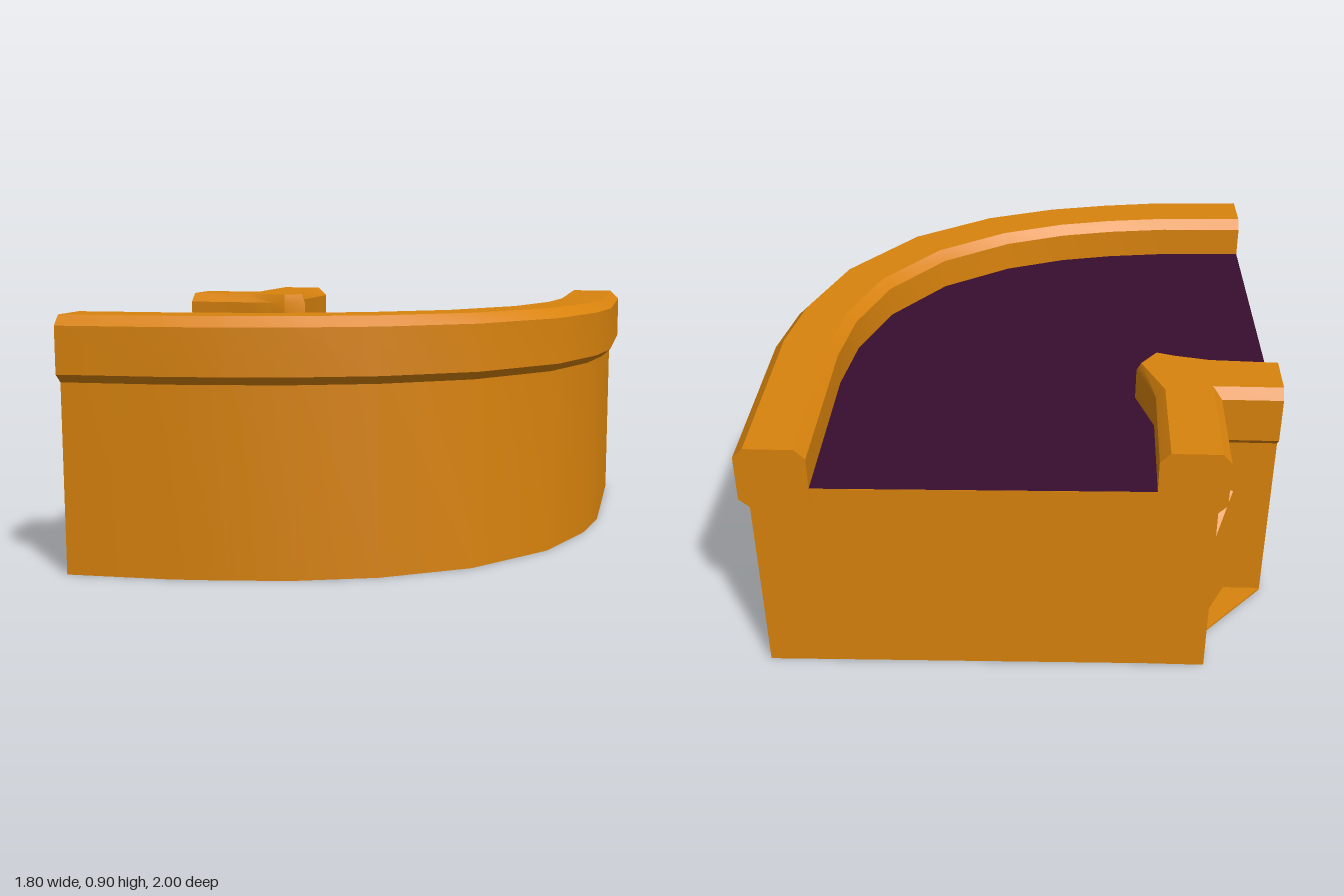
import * as THREE from 'three';
import { toCreasedNormals } from 'three/addons/utils/BufferGeometryUtils.js';
import { ConvexGeometry } from 'three/addons/geometries/ConvexGeometry.js';

const orange = new THREE.MeshStandardMaterial({ color: 0xd9830d });
orange.name = 'orange';
const purple = new THREE.MeshStandardMaterial({ color: 0x380e2f });
purple.name = 'darkPurple';

// Solid through stacked plan outlines: levels = [[y, [[x, z], ...]], ...]
function stack(levels) {
  const rings = levels.map(([y, pts]) => {
    const flat = pts.map(([x, z]) => new THREE.Vector2(x, z));
    if (THREE.ShapeUtils.area(flat) < 0) flat.reverse();
    return { y, flat };
  });
  const pos = [];
  const put = (r, i) => pos.push(r.flat[i].x, r.y, r.flat[i].y);
  const n = rings[0].flat.length;
  for (let k = 0; k < rings.length - 1; k++) {
    const lo = rings[k], hi = rings[k + 1];
    for (let i = 0; i < n; i++) {
      const j = (i + 1) % n;
      put(lo, i); put(hi, i); put(hi, j);
      put(lo, i); put(hi, j); put(lo, j);
    }
  }
  const first = rings[0], last = rings[rings.length - 1];
  for (const [a, b, c] of THREE.ShapeUtils.triangulateShape(first.flat, [])) {
    put(first, a); put(first, b); put(first, c);
  }
  for (const [a, b, c] of THREE.ShapeUtils.triangulateShape(last.flat, [])) {
    put(last, a); put(last, c); put(last, b);
  }
  const g = new THREE.BufferGeometry();
  g.setAttribute('position', new THREE.Float32BufferAttribute(pos, 3));
  return toCreasedNormals(g, 0.55);
}

// Curved rim in plan: matching inner and outer edge points
const inner = [[0.665, -1], [0.665, -0.35], [0.635, -0.1], [0.54, 0.17], [0.35, 0.42],
  [0.1, 0.59], [-0.13, 0.68], [-0.33, 0.725], [-0.56, 0.755], [-0.88, 0.765]];
const outer = [[0.9, -1], [0.9, -0.3], [0.86, -0.05], [0.745, 0.28], [0.5, 0.6],
  [0.2, 0.8], [-0.07, 0.9], [-0.3, 0.95], [-0.5, 0.98], [-0.875, 1]];
const across = (t) => inner.map(([x, z], i) => [
  x + (outer[i][0] - x) * t, z + (outer[i][1] - z) * t]);
const band = (a, b) => [...across(b), ...across(a).reverse()];

// Notched corner rim in plan: full outline and chamfered outline
const cornerFull = [[-0.69, -0.975], [-0.46, -0.975], [-0.465, -0.59], [-0.405, -0.41],
  [-0.47, -0.325], [-0.54, -0.345], [-0.66, -0.355], [-0.9, -0.36], [-0.9, -0.595], [-0.69, -0.595]];
const cornerInset = [[-0.66, -0.975], [-0.495, -0.975], [-0.495, -0.59], [-0.42, -0.42],
  [-0.477, -0.345], [-0.54, -0.365], [-0.66, -0.39], [-0.9, -0.4], [-0.9, -0.565], [-0.66, -0.565]];

// Plan of the whole block, its curved side at fraction t across the rim
const plan = (t) => [...across(t), [-0.9, -0.36], [-0.9, -0.565], [-0.66, -0.565],
  [-0.66, -0.975], [-0.46, -0.975]];

const chamfered = (full, inset) => stack([[0.67, inset], [0.7, full], [0.865, full], [0.9, inset]]);

export function createModel() {
  const group = new THREE.Group();
  const add = (name, geometry, material = orange) => {
    const mesh = new THREE.Mesh(geometry, material);
    mesh.name = name;
    group.add(mesh);
  };

  add('body', stack([[0, plan(0.85)], [0.743, plan(0.85)]]));
  add('curvedRim', chamfered(band(0, 1), band(0.15, 0.85)));
  add('cornerRim', chamfered(cornerFull, cornerInset));

  // Dark floor between the rims
  const floor = new THREE.ShapeGeometry(new THREE.Shape(
    plan(0.1).map(([x, z]) => new THREE.Vector2(x, -z))));
  floor.rotateX(-Math.PI / 2).translate(0, 0.75, 0);
  add('floor', floor, purple);
  // Thin edge closing the gap under the floor
  add('floorEdge', stack([[0.743, plan(0.1)], [0.749, plan(0.1)]]));

  // Brace and foot in the notch
  const brace = [[-0.66, -0.77, 0.27], [-0.66, -0.565, 0.46], [-0.765, -0.565, 0.46]]
    .flatMap(([x, z, h]) => [new THREE.Vector3(x, 0, z), new THREE.Vector3(x, h, z)]);
  add('notchBrace', new ConvexGeometry(brace));
  add('notchFoot', stack([0, 0.008].map((y) => [y, [[-0.66, -0.825], [-0.66, -0.565], [-0.9, -0.565]]])));

  return group;
}
